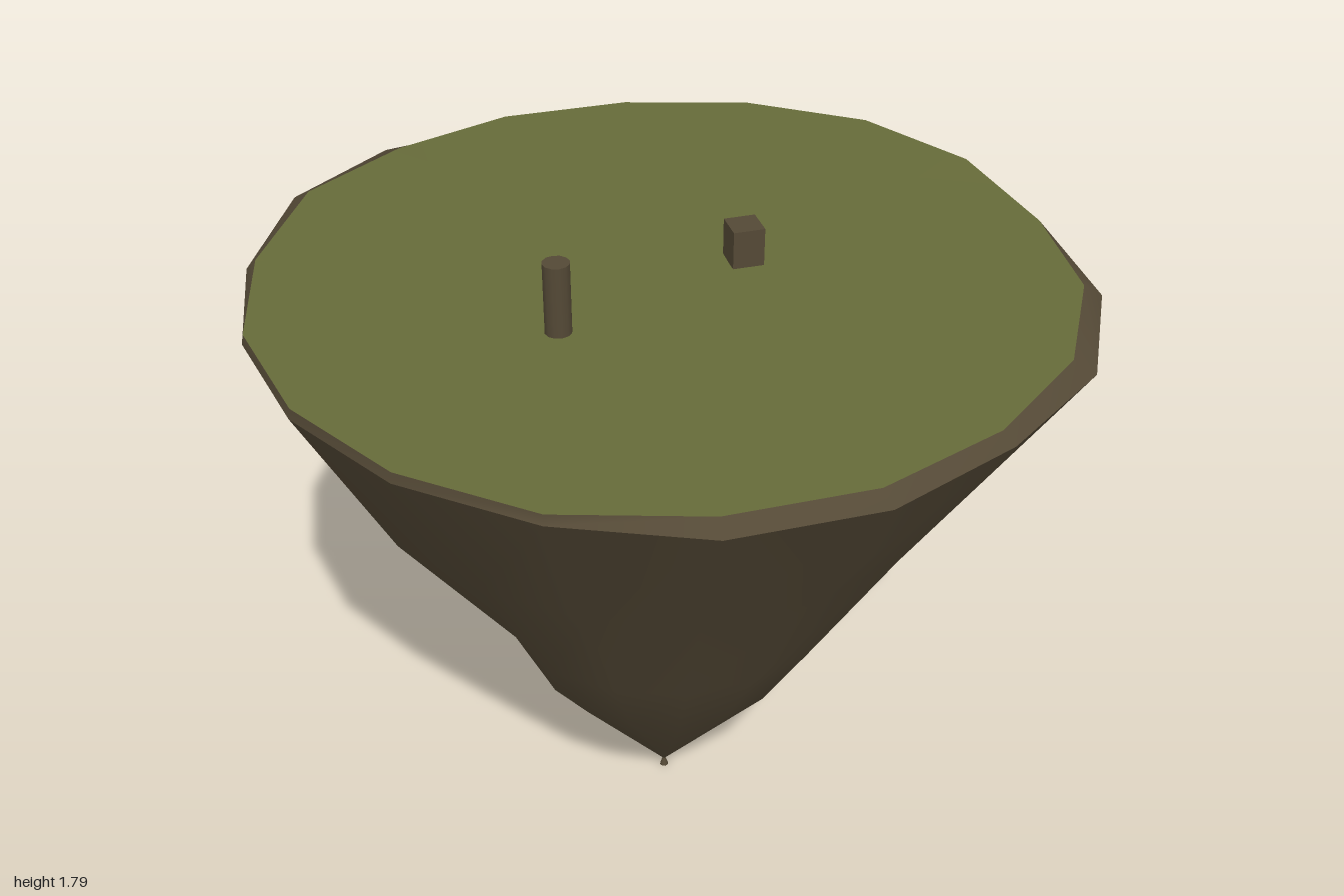
import * as THREE from 'three';

const SIDES = 18;
const CENTRE_Z = -0.02;

// Outer rim and turf edge, one radius per side, counterclockwise from the front
const RIM = [1.025, 1.01, 1.04, 1.035, 0.99, 1.01, 1.03, 1.025, 0.995,
  0.995, 1.04, 1.035, 1.01, 0.995, 0.99, 0.995, 1.0, 1.025];
const EDGE = [0.98, 0.975, 0.985, 0.99, 0.98, 0.99, 1.0, 1.0, 0.993,
  0.993, 0.98, 0.99, 0.985, 0.99, 0.985, 0.99, 0.995, 0.98];
const EDGE_Y = [1.62, 1.62, 1.62, 1.62, 1.615, 1.635, 1.635, 1.625, 1.62,
  1.62, 1.625, 1.635, 1.62, 1.615, 1.615, 1.62, 1.62, 1.62];

const isBack = (k) => k === 8 || k === 9;
const isRight = (k) => k >= 12 && k <= 14;

// A ring of points from radius and height rules
function ring(radius, height) {
  return Array.from({ length: SIDES }, (_, k) => {
    const a = THREE.MathUtils.degToRad(10 + 20 * k);
    const r = radius(k);
    return [r * Math.sin(a), height(k), r * Math.cos(a) + CENTRE_Z];
  });
}

// Skin between stacked rings, listed from bottom to top
function loft(rings) {
  const index = [];
  for (let j = 0; j < rings.length - 1; j++) {
    for (let k = 0; k < SIDES; k++) {
      const n = (k + 1) % SIDES;
      const a = j * SIDES + k, b = j * SIDES + n;
      const c = a + SIDES, d = b + SIDES;
      index.push(a, b, d, a, d, c);
    }
  }
  return build(rings.flat(), index);
}

// Fan closing a ring, facing upward
function cap(points, centre) {
  const index = [];
  for (let k = 0; k < SIDES; k++) index.push(SIDES, k, (k + 1) % SIDES);
  return build([...points, centre], index);
}

function build(points, index) {
  const geometry = new THREE.BufferGeometry();
  geometry.setAttribute('position', new THREE.Float32BufferAttribute(points.flat(), 3));
  geometry.setIndex(index);
  geometry.computeVertexNormals();
  return geometry;
}

export function createModel() {
  const group = new THREE.Group();
  group.name = 'floatingIsland';
  const rock = new THREE.MeshStandardMaterial({ color: 0x544936, side: THREE.DoubleSide });
  rock.name = 'brown rock';
  const grass = new THREE.MeshStandardMaterial({ color: 0x666b39 });
  grass.name = 'olive grass';

  function add(name, geometry, material, x = 0, y = 0, z = 0) {
    const mesh = new THREE.Mesh(geometry, material);
    mesh.name = name;
    mesh.position.set(x, y, z);
    group.add(mesh);
  }

  const rim = ring((k) => RIM[k], (k) => EDGE_Y[k] - 0.025);
  const edge = ring((k) => EDGE[k], (k) => EDGE_Y[k]);

  // Tapering underside with slightly uneven flanks
  add('rockUnderside', loft([
    ring(() => 0.004, () => 0.025),
    ring((k) => (isBack(k) ? 0.405 : 0.36), () => 0.48),
    ring((k) => (isRight(k) ? 0.47 : isBack(k) ? 0.54 : 0.5), () => 0.72),
    ring((k) => (isRight(k) || isBack(k) ? 0.77 : 0.745), () => 1.15),
    rim,
  ]), rock);

  // Tiny flared point below the cone
  add('rockTip', new THREE.CylinderGeometry(0.004, 0.012, 0.025, 8), rock, 0, 0.0125, CENTRE_Z);

  // Narrow bare lip around the turf
  add('rockLip', loft([rim, edge]), rock);
  add('grassTop', cap(edge, [0, 1.62, CENTRE_Z]), grass);

  // Two markers standing on the turf
  add('roundPost', new THREE.CylinderGeometry(0.032, 0.032, 0.185, 12), rock, -0.305, 1.7025, 0.175);
  add('squareBlock', new THREE.BoxGeometry(0.078, 0.105, 0.078), rock, 0.202, 1.6625, -0.028);

  return group;
}
